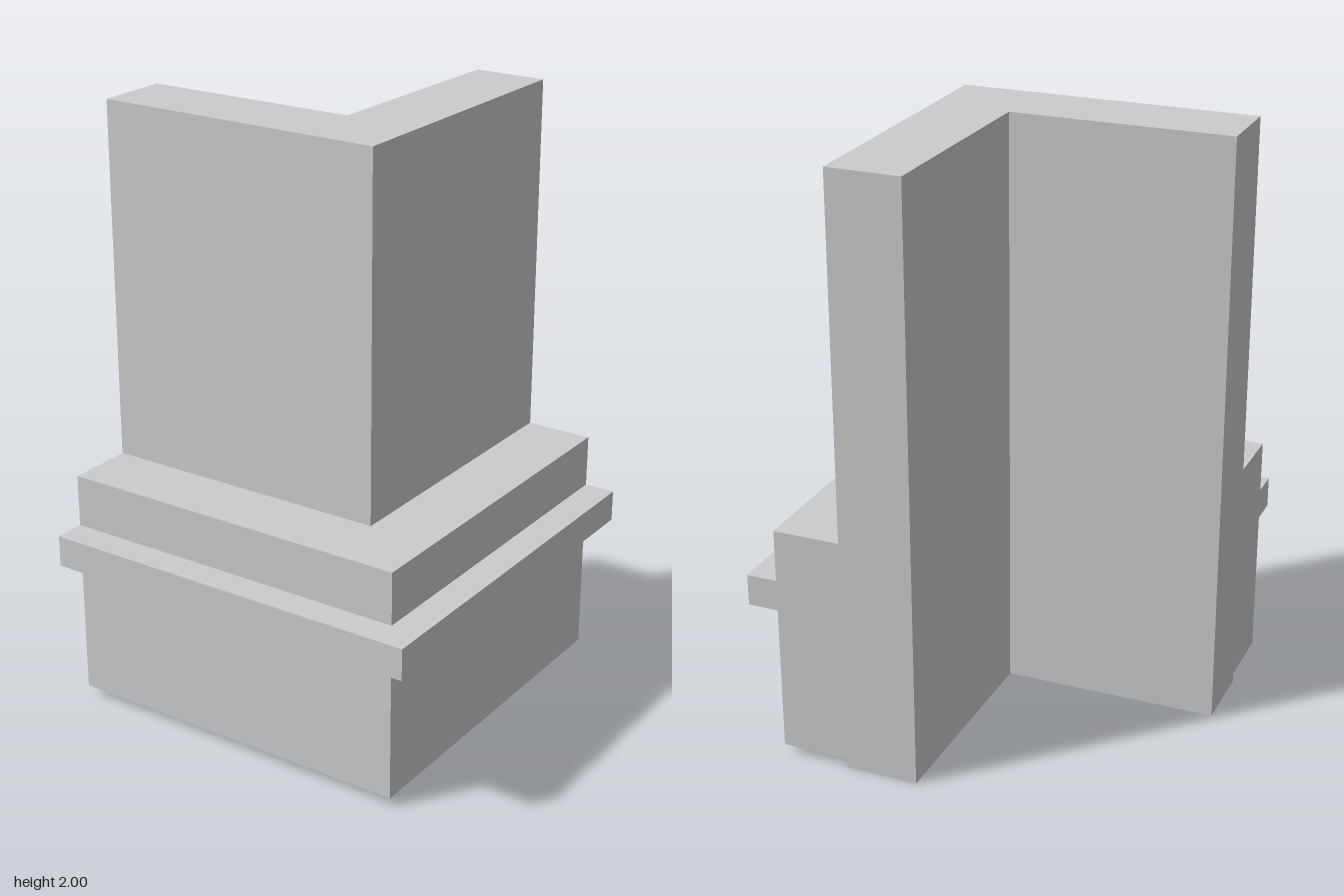
import * as THREE from 'three';

const END = -0.658; // where both arms of the corner are cut off

// Wall cross-section with plinth and projecting band: [outward distance, height]
const profile = [
  [0.08, 0], [0.33, 0],                                   // wall foot
  [0.33, 0.03], [0.555, 0.03], [0.555, 0.525],            // plinth
  [0.658, 0.525], [0.658, 0.63], [0.555, 0.63],           // band
  [0.555, 0.805], [0.33, 0.805],                          // plinth top
  [0.33, 2], [0.08, 2],                                   // wall top
];

// Sweeps the cross-section along one arm, round a mitred corner, and along the other
function cornerSweep(points) {
  const inner = points[0][0];
  const stations = [
    (d, y) => [END, y, d === inner ? 0.085 : d],
    (d, y) => (d === inner ? [0.072, y, 0.08] : [d, y, d]),
    (d, y) => [d === inner ? 0.085 : d, y, END],
  ];
  const pos = [];
  const tri = (a, b, c) => pos.push(...a, ...b, ...c);

  // Long faces of both arms
  for (let s = 0; s < 2; s++) {
    points.forEach((p, i) => {
      const q = points[(i + 1) % points.length];
      const a = stations[s](...p), b = stations[s + 1](...p);
      const c = stations[s + 1](...q), d = stations[s](...q);
      tri(a, b, c);
      tri(a, c, d);
    });
  }

  // Cut ends
  const outline = points.map(([d, y]) => new THREE.Vector2(d, y));
  for (const [i, j, k] of THREE.ShapeUtils.triangulateShape(outline, [])) {
    tri(...[i, j, k].map((n) => stations[0](...points[n])));
    tri(...[k, j, i].map((n) => stations[2](...points[n])));
  }

  const geometry = new THREE.BufferGeometry();
  geometry.setAttribute('position', new THREE.Float32BufferAttribute(pos, 3));
  geometry.computeVertexNormals();
  return geometry;
}

export function createModel() {
  const group = new THREE.Group();
  group.name = 'wallCorner';
  const wall = new THREE.Mesh(
    cornerSweep(profile),
    new THREE.MeshStandardMaterial({ color: 0xcccccc })
  );
  wall.name = 'cornerWallWithPlinth';
  group.add(wall);
  return group;
}
